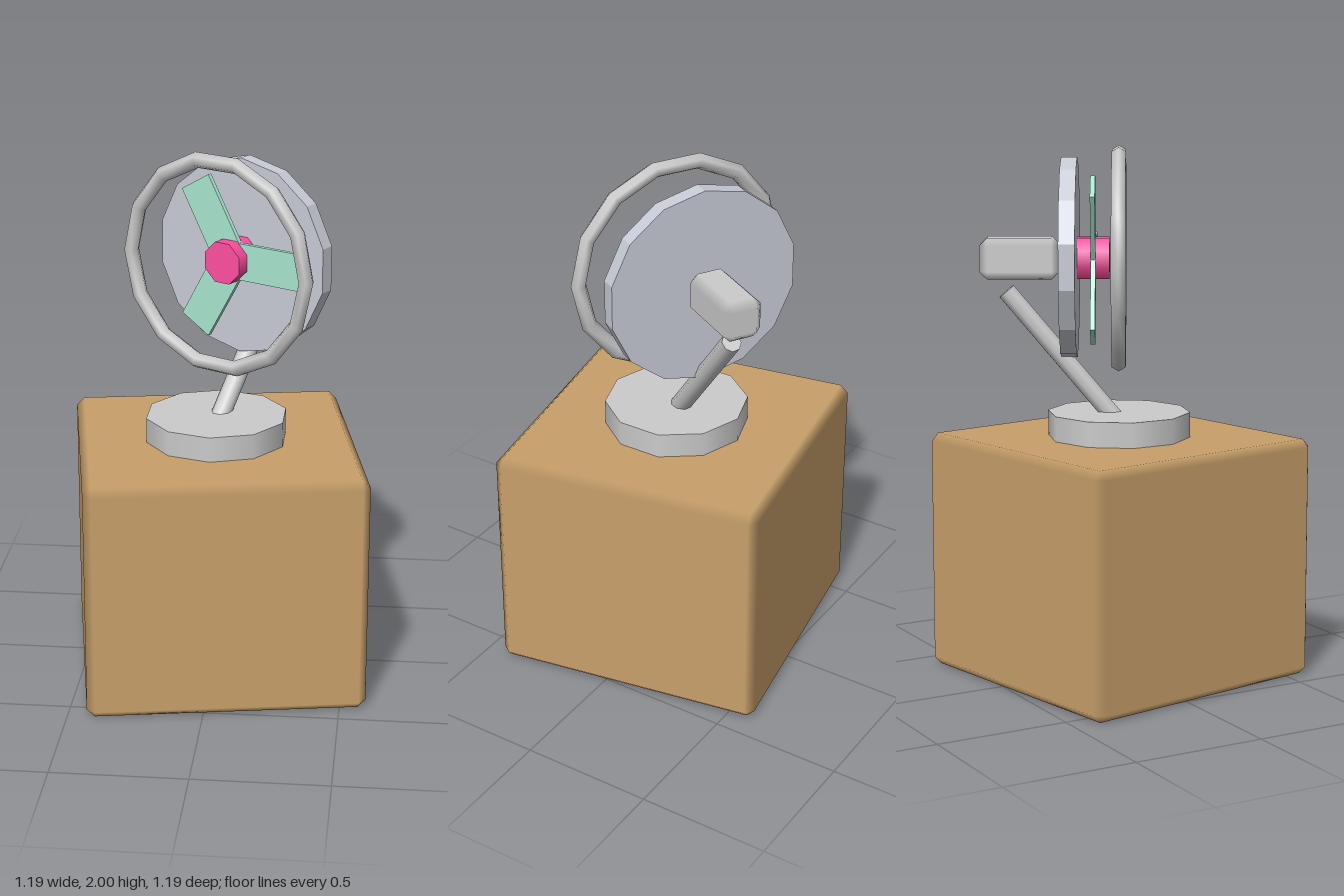
import * as THREE from 'three';
import { ConvexGeometry } from 'three/addons/geometries/ConvexGeometry.js';

const paint = (color, flatShading = false) => new THREE.MeshStandardMaterial({ color, flatShading });

function add(parent, name, geometry, material) {
  const mesh = new THREE.Mesh(geometry, material);
  mesh.name = name;
  parent.add(mesh);
  return mesh;
}

// Box with one chamfer per edge; flat faces and softly shaded chamfers
function softBox(w, h, d, c) {
  const half = [w / 2, h / 2, d / 2];
  const points = [];
  for (let axis = 0; axis < 3; axis++)
    for (const a of [-1, 1]) for (const b of [-1, 1]) for (const e of [-1, 1]) {
      const p = [a, b, e].map((s, i) => s * (half[i] - (i === axis ? 0 : c)));
      points.push(new THREE.Vector3(...p));
    }
  const geo = new ConvexGeometry(points);
  const pos = geo.attributes.position, normal = geo.attributes.normal;
  for (let i = 0; i < pos.count; i++) {
    const p = [pos.getX(i), pos.getY(i), pos.getZ(i)];
    const n = p.map((v, k) => (Math.abs(v) > half[k] - c / 2 ? Math.sign(v) : 0));
    normal.setXYZ(i, ...n);
  }
  return geo;
}

// Cylinder lying along z, between two z values
function axialCylinder(radius, z0, z1, sides, turn = 0) {
  const geo = new THREE.CylinderGeometry(radius, radius, z1 - z0, sides);
  return geo.rotateY(turn).rotateX(Math.PI / 2).translate(0, 0, (z0 + z1) / 2);
}

export function createModel() {
  const model = new THREE.Group();
  model.name = 'fanOnCrate';
  const grey = paint(0xcccccc);

  // Crate, turned a little
  const crate = add(model, 'crate', softBox(1.04, 0.91, 1.04, 0.03), paint(0xc8a06a));
  crate.position.y = 0.455;
  crate.rotation.y = THREE.MathUtils.degToRad(10);

  // Round foot
  add(model, 'foot', new THREE.CylinderGeometry(0.27, 0.27, 0.1, 10), grey).position.y = 0.955;

  // Slanted arm from the foot to below the motor
  const from = new THREE.Vector3(0, 0.96, 0), to = new THREE.Vector3(0.21, 1.46, -0.365);
  const dir = to.clone().sub(from);
  const arm = add(model, 'arm', new THREE.CylinderGeometry(0.037, 0.037, dir.length(), 8), grey);
  arm.position.copy(from).lerp(to, 0.5);
  arm.quaternion.setFromUnitVectors(new THREE.Vector3(0, 1, 0), dir.normalize());

  // Fan head, turned to one side
  const head = new THREE.Group();
  head.name = 'fanHead';
  head.position.y = 1.585;
  head.rotation.y = THREE.MathUtils.degToRad(-30);
  model.add(head);

  add(head, 'guardRing', new THREE.TorusGeometry(0.395, 0.03, 6, 14), grey);
  add(head, 'backPlate', axialCylinder(0.375, -0.215, -0.155, 14), paint(0xc8ccd6, true));
  add(head, 'hub', axialCylinder(0.083, -0.17, -0.035, 8, Math.PI / 8), paint(0xff4f9f));
  add(head, 'motor', softBox(0.15, 0.155, 0.3, 0.03), grey).position.z = -0.37;

  // Three flat blades
  const mint = paint(0xa8e6cf);
  for (let i = 0; i < 3; i++) {
    const blade = add(head, 'blade', new THREE.BoxGeometry(0.3, 0.14, 0.018).translate(0.17, 0, 0), mint);
    blade.position.z = -0.095;
    blade.rotation.z = (i * Math.PI * 2) / 3;
  }
  return model;
}
